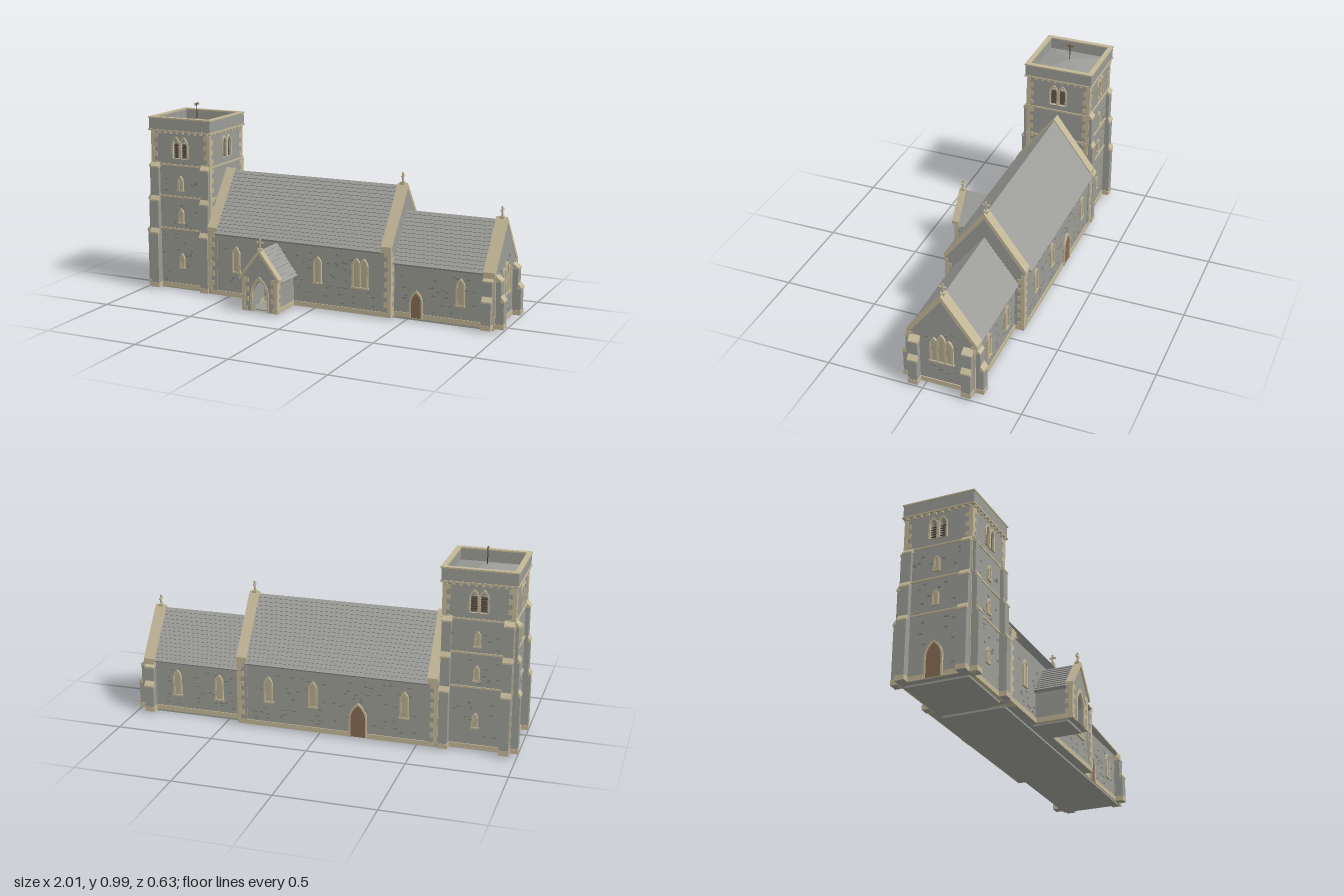
import * as THREE from 'three';
import { mergeGeometries } from 'three/addons/utils/BufferGeometryUtils.js';

const material = (name, color) => {
  const m = new THREE.MeshStandardMaterial({ color });
  m.name = name;
  return m;
};
const wall = material('grey stone', 0x9c9c95);
const brick = material('dark stone', 0x84837c);
const slate = material('slate', 0x9a9a97);
const trim = material('pale stone', 0xc2b797);
const pane = material('window pane', 0xb3aa8e);
const wood = material('door wood', 0x886c55);
const dark = material('louvre wood', 0x4a4038);

const CZ = -0.085; // shared east-west axis of tower, nave and chancel

export function createModel() {
  const root = new THREE.Group();
  let seed = 7;
  const rand = () => (seed = (seed * 16807) % 2147483647) / 2147483647;

  const add = (name, geo, mat, parent = root) => {
    const m = new THREE.Mesh(geo, mat);
    m.name = name;
    parent.add(m);
    return m;
  };
  const boxGeo = (x0, x1, y0, y1, z0, z1) =>
    new THREE.BoxGeometry(x1 - x0, y1 - y0, z1 - z0).translate((x0 + x1) / 2, (y0 + y1) / 2, (z0 + z1) / 2);
  const box = (name, mat, ...b) => add(name, boxGeo(...b), mat);
  const mount = (name, x, y, z, turn, parent = root) => {
    const g = new THREE.Group();
    g.name = name;
    g.position.set(x, y, z);
    g.rotation.y = turn;
    parent.add(g);
    return g;
  };
  const poly = pts => new THREE.Shape(pts.map(p => new THREE.Vector2(p[0], p[1])));
  const extrude = (shape, depth) =>
    new THREE.ExtrudeGeometry(shape, { depth, bevelEnabled: false, curveSegments: 6 });
  // symmetric section swept along x (or along z, for the porch)
  const alongX = (shape, x0, x1) => extrude(shape, x1 - x0).rotateY(Math.PI / 2).translate(x0, 0, CZ);
  const alongZ = (shape, z0, z1, cx) => extrude(shape, z1 - z0).translate(cx, 0, z0);

  // pointed arch outline
  const arch = (w, h, cx = 0, y = 0, Kind = THREE.Shape) => {
    const s = new Kind(), a = w / 2, sp = y + h - w * 0.85;
    s.moveTo(cx - a, y);
    s.lineTo(cx + a, y);
    s.lineTo(cx + a, sp);
    s.quadraticCurveTo(cx + a * 0.9, sp + w * 0.5, cx, y + h);
    s.quadraticCurveTo(cx - a * 0.9, sp + w * 0.5, cx - a, sp);
    s.closePath();
    return s;
  };
  const frame = (w, h, cx, edge, g, depth = 0.01) => {
    const s = arch(w + edge * 2, h + edge * 1.5, cx);
    s.holes.push(arch(w, h, cx, 0, THREE.Path));
    add('archFrame', extrude(s, depth), trim, g);
  };
  const arched = (name, x, y, z, turn, w, h, mat = pane, lights = 1) => {
    const g = mount(name, x, y, z, turn);
    for (let i = 0; i < lights; i++) {
      const o = i - (lights - 1) / 2, hh = lights === 3 && o === 0 ? h + 0.025 : h;
      const cx = o * (w + 0.011);
      frame(w, hh, cx, 0.009, g);
      add('infill', extrude(arch(w, hh, cx), 0.006), mat, g);
    }
    if (mat === pane)
      add('sill', new THREE.BoxGeometry(lights * (w + 0.012) + 0.012, 0.008, 0.024), trim, g);
  };

  // alternating corner blocks
  const quoins = (x, z, sx, sz, y0, y1) => {
    const n = Math.round((y1 - y0) / 0.025), h = (y1 - y0) / n, geos = [];
    for (let i = 0; i < n; i++) {
      const a = i % 2 ? 0.038 : 0.02, b = i % 2 ? 0.02 : 0.038;
      geos.push(new THREE.BoxGeometry(a, h, b)
        .translate(x - sx * (a / 2 - 0.003), y0 + (i + 0.5) * h, z - sz * (b / 2 - 0.003)));
    }
    add('quoins', mergeGeometries(geos), trim);
  };
  // raised stones scattered on a wall
  const stones = (x, y, z, turn, w, h, n) => {
    const geos = [];
    for (let i = 0; i < n; i++)
      geos.push(new THREE.BoxGeometry(0.018, 0.007, 0.004)
        .translate((rand() - 0.5) * w, rand() * h, 0));
    add('raisedStones', mergeGeometries(geos), brick, mount('stoneFace', x, y, z, turn));
  };
  // stages are [depth, top]; every stage has a sloping cap
  const buttress = (x, z, turn, w, stages) => {
    const g = mount('buttress', x, 0, z, turn), pts = [[0, 0.01]], caps = [];
    stages.forEach(([d, top], i) => {
      const next = i + 1 < stages.length ? stages[i + 1][0] : 0;
      pts.push([d, i ? stages[i - 1][1] : 0.01], [d, top - 0.022]);
      caps.push(extrude(poly([[next, top], [d + 0.003, top - 0.022], [d + 0.003, top - 0.03],
        [next, top - 0.03]]), w + 0.006).translate(0, 0, -0.003));
    });
    pts.push([0, stages[stages.length - 1][1]]);
    const orient = geo => geo.translate(0, 0, -w / 2).rotateY(-Math.PI / 2);
    add('buttressBody', orient(extrude(poly(pts), w)), wall, g);
    add('buttressCaps', orient(mergeGeometries(caps)), trim, g);
    add('buttressPlinth', new THREE.BoxGeometry(w + 0.006, 0.025, stages[0][0])
      .translate(0, 0.0225, stages[0][0] / 2 + 0.002), trim, g);
  };
  // roof section with overlapping slate courses
  const roofShape = (half, eave, ridge, rows) => {
    const rise = ridge - eave, len = Math.hypot(half, rise), nx = rise / len, ny = half / len, side = [];
    for (let i = 0; i < rows; i++)
      for (const [t, lift] of [[i / rows, 0.005], [(i + 1) / rows, 0]])
        side.push([half * (1 - t) + nx * lift, eave + rise * t + ny * lift]);
    const left = side.slice(0, -1).reverse().map(([u, y]) => [-u, y]);
    const u = half - nx * 0.014, y = eave - ny * 0.014;
    return poly([...side, ...left, [-u, y], [0, ridge - 0.024], [u, y]]);
  };
  const gable = (half, eave, apex, base = 0.01) =>
    poly([[-half, base], [half, base], [half, eave], [0, apex], [-half, eave]]);
  const coping = (half, low, apex, t) =>
    poly([[half, low], [0, apex], [-half, low], [-half, low - t], [0, apex - t], [half, low - t]]);
  const cross = (x, y, z, turn) => {
    const g = mount('gableCross', x, y, z, turn);
    add('crossFoot', new THREE.BoxGeometry(0.022, 0.014, 0.022), trim, g);
    add('crossShaft', new THREE.BoxGeometry(0.008, 0.055, 0.008).translate(0, 0.027, 0), trim, g);
    add('crossArms', new THREE.BoxGeometry(0.036, 0.008, 0.008).translate(0, 0.036, 0), trim, g);
  };
  const E = Math.PI / 2, N = Math.PI, W = -Math.PI / 2;

  // foundations
  box('towerFoundation', wall, -0.93, -0.61, 0, 0.012, CZ - 0.16, CZ + 0.16);
  box('mainFoundation', wall, -0.555, 0.95, 0, 0.012, CZ - 0.16, CZ + 0.16);
  box('porchFoundation', wall, -0.29, -0.12, 0, 0.014, 0.1, 0.28);

  // tower
  const TX = -0.786, T = 0.175;
  box('towerBody', wall, TX - T, TX + T, 0.01, 0.69, CZ - T, CZ + T);
  box('towerPlinth', trim, TX - T - 0.005, TX + T + 0.005, 0.01, 0.035, CZ - T - 0.005, CZ + T + 0.005);
  for (const y of [0.33, 0.505, 0.675])
    box('stringCourse', trim, TX - T - 0.005, TX + T + 0.005, y, y + 0.009, CZ - T - 0.005, CZ + T + 0.005);
  for (let k = 0; k < 4; k++) {
    const g = mount('belfryFace', TX, 0, CZ, k * E);
    const s = poly([[-T, 0.69], [T, 0.69], [T, 0.86], [-T, 0.86]]);
    for (const cx of [-0.024, 0.024]) s.holes.push(arch(0.034, 0.105, cx, 0.715, THREE.Path));
    add('belfryWall', extrude(s, 0.025).translate(0, 0, T - 0.025), wall, g);
    const win = mount('belfryWindow', 0, 0.715, T - 0.004, 0, g);
    for (const cx of [-0.024, 0.024]) {
      frame(0.034, 0.105, cx, 0.008, win, 0.012);
      for (let i = 0; i < 6; i++) {
        const l = add('louvre', new THREE.BoxGeometry(0.036, 0.004, 0.016), dark, win);
        l.position.set(cx, 0.008 + i * 0.0125, -0.008);
        l.rotation.x = 0.5;
      }
    }
    const corbels = [];
    for (let i = 0; i < 10; i++)
      corbels.push(new THREE.BoxGeometry(0.012, 0.014, 0.012).translate(-0.162 + i * 0.036, 0.853, T + 0.004));
    add('corbels', mergeGeometries(corbels), trim, g);
  }
  const ring = (outer, inner, y0, y1) => {
    const sq = r => [[-r, -r], [r, -r], [r, r], [-r, r]];
    const s = poly(sq(outer));
    s.holes.push(poly(sq(inner)));
    return extrude(s, y1 - y0).rotateX(-E).translate(TX, y0, CZ);
  };
  box('towerLid', wall, TX - T, TX + T, 0.855, 0.866, CZ - T, CZ + T);
  add('parapetString', ring(0.188, 0.16, 0.857, 0.865), trim);
  add('parapet', ring(0.184, 0.165, 0.865, 0.924), wall);
  add('parapetCoping', ring(0.188, 0.162, 0.924, 0.931), trim);
  add('towerRoof', new THREE.ConeGeometry(0.166 * Math.SQRT2, 0.04, 4, 1).toNonIndexed()
    .rotateY(Math.PI / 4).translate(TX, 0.886, CZ), slate).geometry.computeVertexNormals();
  add('vanePole', new THREE.CylinderGeometry(0.0025, 0.0025, 0.1, 8).translate(TX, 0.942, CZ), dark);
  box('weatherVane', wood, TX - 0.002, TX + 0.002, 0.979, 0.99, CZ - 0.02, CZ + 0.02);

  const towerStages = [[0.039, 0.335], [0.028, 0.51], [0.018, 0.69]];
  for (const s of [-1, 1]) {
    for (const x of [TX - T + 0.024, TX + T - 0.024])
      buttress(x, CZ + s * T, s > 0 ? 0 : N, 0.045, towerStages);
    buttress(TX - T, CZ + s * (T - 0.024), W, 0.045, towerStages);
    for (const t of [-1, 1]) quoins(TX + t * T, CZ + s * T, t, s, 0.04, 0.845);
    for (const y of [0.125, 0.37, 0.545])
      arched('slitWindow', TX, y, CZ + s * T, s > 0 ? 0 : N, 0.014, 0.065);
    stones(TX, 0.05, CZ + s * T, s > 0 ? 0 : N, 0.24, 0.6, 28);
  }
  for (const y of [0.37, 0.545]) arched('slitWindow', TX - T, y, CZ, W, 0.014, 0.065);
  arched('westDoor', TX - T, 0.012, CZ, W, 0.075, 0.17, wood);
  stones(TX - T, 0.05, CZ, W, 0.24, 0.6, 28);

  // nave
  const NH = 0.205;
  add('naveBody', alongX(gable(NH, 0.345, 0.615), -0.61, 0.425), wall);
  add('naveRoof', alongX(roofShape(0.226, 0.343, 0.645, 18), -0.556, 0.382), slate);
  box('navePlinth', trim, -0.6, 0.432, 0.01, 0.035, CZ - NH - 0.005, CZ + NH + 0.005);
  for (const [a, b] of [[-0.605, -0.555], [0.38, 0.43]]) {
    add('naveGable', alongX(gable(NH + 0.004, 0.36, 0.638), a, b), wall);
    add('naveCoping', alongX(coping(0.216, 0.372, 0.657, 0.03), a - 0.002, b + 0.002), trim);
    for (const s of [-1, 1])
      quoins(a < 0 ? a : b, CZ + s * (NH + 0.004), a < 0 ? -1 : 1, s, 0.035, 0.345);
  }
  cross(0.405, 0.655, CZ, E);

  // chancel
  const CH = 0.16;
  add('chancelBody', alongX(gable(CH, 0.285, 0.495), 0.42, 0.95), wall);
  add('chancelRoof', alongX(roofShape(0.177, 0.283, 0.52, 14), 0.43, 0.902), slate);
  box('chancelPlinth', trim, 0.43, 0.96, 0.01, 0.035, CZ - CH - 0.005, CZ + CH + 0.005);
  add('chancelGable', alongX(gable(CH + 0.004, 0.29, 0.512), 0.9, 0.955), wall);
  add('chancelCoping', alongX(coping(0.18, 0.293, 0.533, 0.03), 0.898, 0.958), trim);
  cross(0.928, 0.53, CZ, E);
  const chancelStages = [[0.044, 0.175], [0.028, 0.275]];
  for (const s of [-1, 1]) {
    buttress(0.955, CZ + s * 0.136, E, 0.045, chancelStages);
    buttress(0.925, CZ + s * (CH + 0.002), s > 0 ? 0 : N, 0.045, chancelStages);
    quoins(0.955, CZ + s * (CH + 0.004), 1, s, 0.035, 0.285);
  }
  arched('eastWindow', 0.955, 0.15, CZ, E, 0.027, 0.125, pane, 3);
  stones(0.956, 0.05, CZ, E, 0.18, 0.3, 20);

  // side openings
  for (const s of [-1, 1]) {
    const turn = s > 0 ? 0 : N, zn = CZ + s * NH, zc = CZ + s * CH;
    for (const x of [-0.44, 0.03]) arched('naveLancet', x, 0.145, zn, turn, 0.028, 0.125);
    arched('naveWindow', 0.265, 0.145, zn, turn, s > 0 ? 0.03 : 0.028, s > 0 ? 0.14 : 0.125, pane, s > 0 ? 2 : 1);
    arched('naveDoor', -0.205, 0.012, zn, turn, 0.075, 0.17, wood);
    arched('chancelLancet', 0.78, 0.105, zc, turn, 0.028, 0.125);
    stones(-0.08, 0.05, zn, turn, 0.84, 0.26, 75);
    stones(0.66, 0.05, zc, turn, 0.4, 0.2, 30);
  }
  arched('priestDoor', 0.55, 0.012, CZ + CH, 0, 0.052, 0.13, wood);
  arched('chancelLancet', 0.55, 0.105, CZ - CH, N, 0.028, 0.125);

  // south porch
  const PX = -0.205, PH = 0.097;
  for (const s of [-1, 1]) {
    const a = PX + s * PH, b = PX + s * (PH - 0.025), o = a + s * 0.004;
    box('porchWall', wall, Math.min(a, b), Math.max(a, b), 0.01, 0.185, 0.11, 0.3);
    box('porchPlinth', trim, Math.min(o, b), Math.max(o, b), 0.01, 0.035, 0.12, 0.312);
    quoins(a, 0.308, s, 1, 0.035, 0.185);
  }
  const front = gable(PH, 0.185, 0.318);
  front.holes.push(arch(0.08, 0.165, 0, 0.0101, THREE.Path));
  add('porchGable', alongZ(front, 0.282, 0.308, PX), wall);
  frame(0.08, 0.165, 0, 0.012, mount('porchArch', PX, 0.01, 0.304, 0));
  add('porchRoof', alongZ(roofShape(0.117, 0.168, 0.328, 10), 0.1, 0.284, PX), slate);
  add('porchCoping', alongZ(coping(0.112, 0.19, 0.336, 0.022), 0.28, 0.318, PX), trim);
  cross(PX, 0.332, 0.3, 0);

  return root;
}
